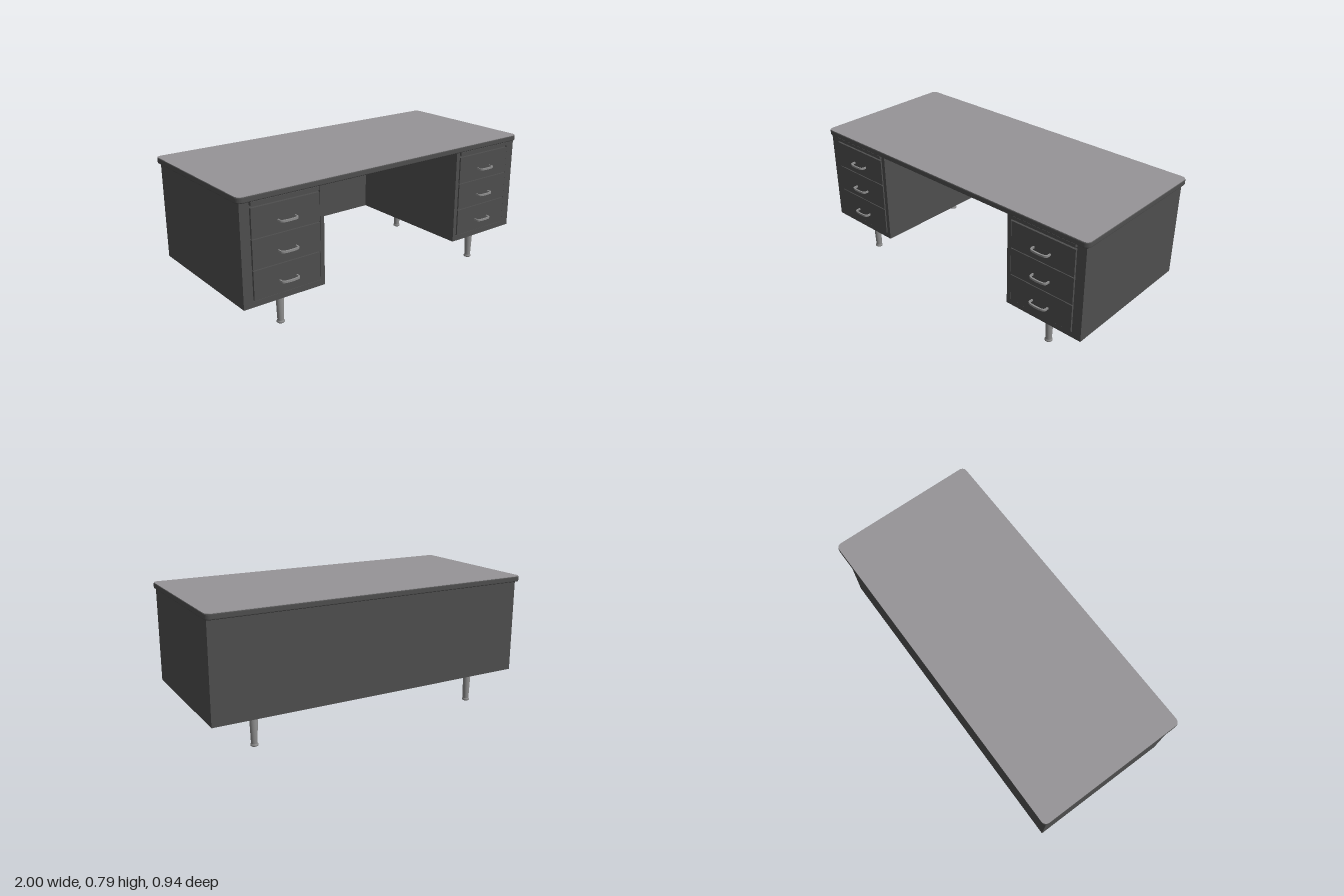
import * as THREE from 'three';

const steel = new THREE.MeshStandardMaterial({ color: 0x4e4e4e });
steel.name = 'dark grey steel';
const laminate = new THREE.MeshStandardMaterial({ color: 0x969497 });
laminate.name = 'pale grey laminate';
const metal = new THREE.MeshStandardMaterial({ color: 0x8c8c8c });
metal.name = 'brushed metal';

function add(parent, name, geometry, material, x = 0, y = 0, z = 0) {
  const mesh = new THREE.Mesh(geometry, material);
  mesh.name = name;
  mesh.position.set(x, y, z);
  parent.add(mesh);
  return mesh;
}

// Box given by its extents
function block(parent, name, material, x0, x1, y0, y1, z0, z1) {
  return add(parent, name, new THREE.BoxGeometry(x1 - x0, y1 - y0, z1 - z0), material,
    (x0 + x1) / 2, (y0 + y1) / 2, (z0 + z1) / 2);
}

function roundedRect(w, d, r) {
  const s = new THREE.Shape();
  s.absarc(w / 2 - r, d / 2 - r, r, 0, Math.PI / 2);
  s.absarc(-w / 2 + r, d / 2 - r, r, Math.PI / 2, Math.PI);
  s.absarc(-w / 2 + r, -d / 2 + r, r, Math.PI, Math.PI * 1.5);
  s.absarc(w / 2 - r, -d / 2 + r, r, Math.PI * 1.5, Math.PI * 2);
  s.closePath();
  return s;
}

// Flat D-shaped pull, lying horizontally and projecting towards +z
function handleGeometry() {
  const s = new THREE.Shape();
  s.moveTo(-0.056, 0);
  s.lineTo(-0.056, 0.02);
  s.quadraticCurveTo(-0.054, 0.034, -0.036, 0.038);
  s.quadraticCurveTo(0, 0.044, 0.036, 0.038);
  s.quadraticCurveTo(0.054, 0.034, 0.056, 0.02);
  s.lineTo(0.056, 0);
  s.lineTo(0.048, 0);
  s.lineTo(0.048, 0.018);
  s.quadraticCurveTo(0.046, 0.027, 0.034, 0.029);
  s.quadraticCurveTo(0, 0.034, -0.034, 0.029);
  s.quadraticCurveTo(-0.046, 0.027, -0.048, 0.018);
  s.lineTo(-0.048, 0);
  s.closePath();
  const g = new THREE.ExtrudeGeometry(s, { depth: 0.011, bevelEnabled: false, curveSegments: 8 });
  return g.rotateX(Math.PI / 2).translate(0, 0.0055, 0);
}

// Tapered leg with a rounded foot
function legGeometry() {
  const profile = [[0, 0], [0.018, 0], [0.022, 0.003], [0.022, 0.01], [0.018, 0.014],
    [0.018, 0.016], [0.024, 0.182], [0, 0.182]].map(([x, y]) => new THREE.Vector2(x, y));
  return new THREE.LatheGeometry(profile, 24);
}

export function createModel() {
  const desk = new THREE.Group();
  desk.name = 'desk';

  // Worktop: rounded slab with a pale surface
  const midZ = -0.0145;
  const slab = new THREE.ExtrudeGeometry(roundedRect(1.986, 0.901, 0.025), {
    depth: 0.02, bevelThickness: 0.007, bevelSize: 0.007, bevelSegments: 3, curveSegments: 8,
  });
  slab.rotateX(-Math.PI / 2);
  add(desk, 'worktopEdge', slab, steel, 0, 0.7595, midZ);
  const surface = new THREE.ExtrudeGeometry(roundedRect(1.996, 0.911, 0.03), {
    depth: 0.003, bevelEnabled: false, curveSegments: 8,
  });
  surface.rotateX(-Math.PI / 2);
  add(desk, 'worktopSurface', surface, laminate, 0, 0.7845, midZ);

  // Back panel closing the knee space
  block(desk, 'backPanel', steel, -0.487, 0.487, 0.187, 0.754, -0.44, -0.42);

  const handle = handleGeometry();
  const leg = legGeometry();

  for (const [side, label] of [[1, 'left'], [-1, 'right']]) {
    const pedestal = new THREE.Group();
    pedestal.name = label + 'Pedestal';
    pedestal.position.x = side * 0.72;
    desk.add(pedestal);

    // Local x runs from the pedestal's middle; the wider stile is on the outside
    const inner = side * -0.234, outer = side * 0.265;
    const x0 = Math.min(inner, outer), x1 = Math.max(inner, outer);
    block(pedestal, 'cabinet', steel, x0, x1, 0.187, 0.754, -0.44, 0.416);

    // Front frame around the drawer opening
    const frame = new THREE.Shape([[x0, 0.187], [x1, 0.187], [x1, 0.754], [x0, 0.754]]
      .map(([x, y]) => new THREE.Vector2(x, y)));
    frame.holes.push(new THREE.Path([[-0.209, 0.22], [-0.209, 0.752], [0.209, 0.752], [0.209, 0.22]]
      .map(([x, y]) => new THREE.Vector2(x, y))));
    add(pedestal, 'frontFrame', new THREE.ExtrudeGeometry(frame, { depth: 0.012, bevelEnabled: false }),
      steel, 0, 0, 0.416);

    // Pull-out writing board above the drawers
    block(pedestal, 'writingBoard', steel, -0.203, 0.203, 0.729, 0.749, 0.4, 0.435);

    // Three drawers with pulls
    for (let i = 0; i < 3; i++) {
      const y = 0.224 + i * 0.166;
      block(pedestal, 'drawerFront', steel, -0.204, 0.204, y, y + 0.161, 0.4, 0.432);
      add(pedestal, 'drawerHandle', handle, metal, 0, 0.294 + i * 0.165, 0.432);
    }

    // Legs with mounting plates
    for (const z of [0.343, -0.35]) {
      block(pedestal, 'legPlate', steel, -0.052, 0.052, 0.181, 0.188, z - 0.047, z + 0.047);
      add(pedestal, 'leg', leg, metal, 0, 0, z);
    }
  }
  return desk;
}
